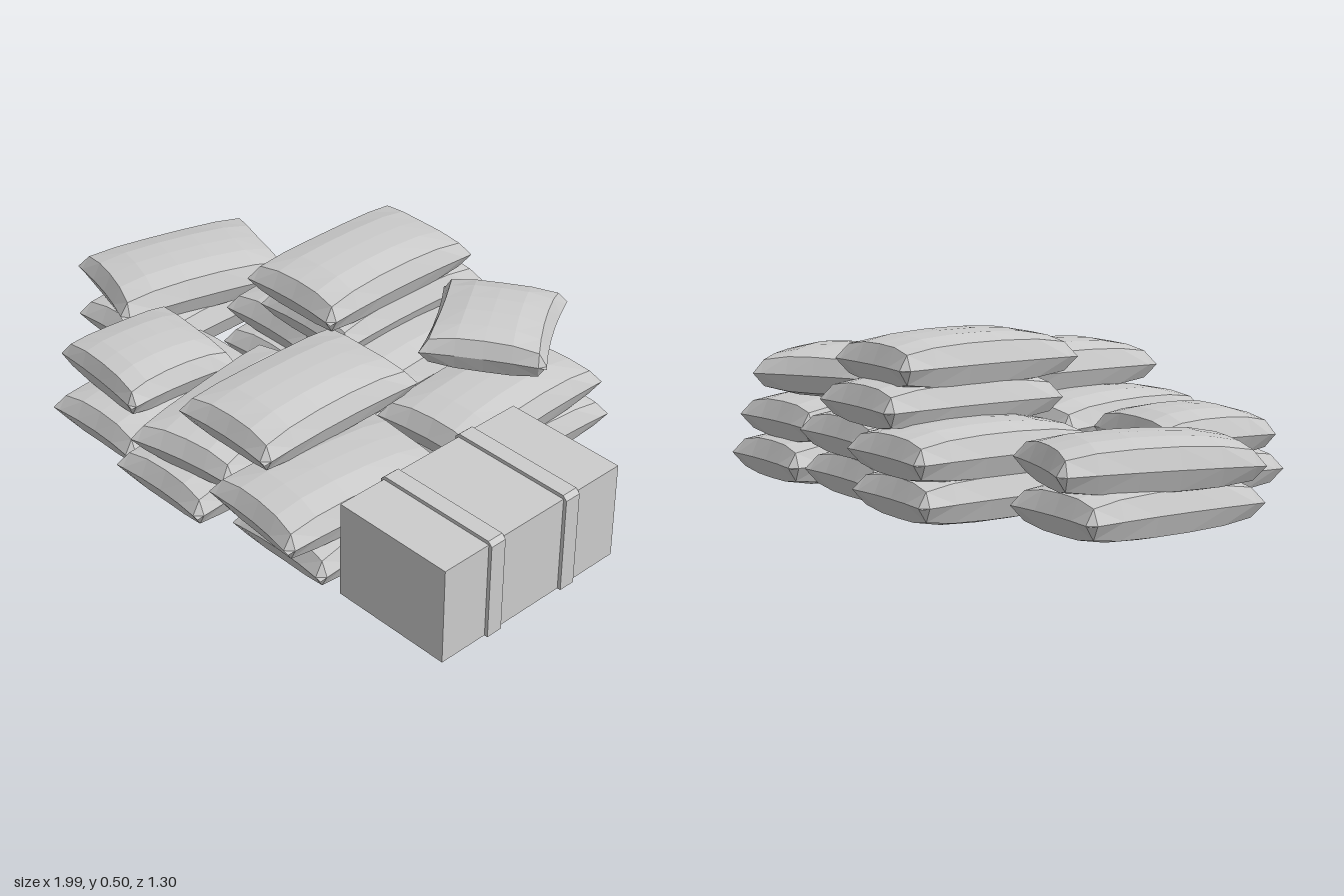
import * as THREE from 'three';

const material = new THREE.MeshStandardMaterial({ color: 0xcccccc, flatShading: true });

// Stuffed sack: two domed grids meeting at a pinched seam with flared corners
function sackGeometry(halfW, halfL, halfH) {
  const us = [-1, -0.87, -0.45, 0, 0.45, 0.87, 1];
  const vs = [-1, -0.91, -0.6, -0.2, 0.2, 0.6, 0.91, 1];
  const dome = t => {
    const a = Math.abs(t);
    return a === 1 ? 0 : 1 - 0.4 * Math.pow(a, 3);
  };
  const positions = [], indices = [];
  for (const side of [1, -1]) {
    const start = positions.length / 3;
    for (const v of vs) for (const u of us) {
      positions.push(
        halfW * u * (1 - 0.07 * (1 - v * v)),
        side * halfH * dome(u) * dome(v),
        halfL * v * (1 - 0.045 * (1 - u * u)));
    }
    for (let j = 0; j < vs.length - 1; j++) for (let i = 0; i < us.length - 1; i++) {
      const a = start + j * us.length + i, b = a + 1, c = a + us.length, d = c + 1;
      if (side > 0) indices.push(a, c, b, b, c, d);
      else indices.push(a, b, c, b, d, c);
    }
  }
  const g = new THREE.BufferGeometry();
  g.setAttribute('position', new THREE.Float32BufferAttribute(positions, 3));
  g.setIndex(indices);
  g.computeVertexNormals();
  return g;
}

// Sack layers from the ground up: x, z, turn in degrees
const layers = [
  { name: 'bottomSack', y: 0.083, sacks: [
    [-0.745, -0.09, 0], [-0.385, 0.29, 0], [-0.03, 0.335, 0], [0.405, 0.27, 0],
    [-0.31, -0.32, 0], [0.04, -0.27, 0], [0.41, -0.31, 0]] },
  { name: 'secondSack', y: 0.2, sacks: [
    [-0.745, -0.09, -16], [-0.02, 0.3, 9.5], [0.395, 0.34, -5],
    [-0.31, -0.335, 0], [0.04, -0.285, 0], [0.41, -0.28, 3]] },
  { name: 'thirdSack', y: 0.312, sacks: [[-0.12, -0.31, 0]] },
  { name: 'frontTopSack', y: 0.33, sacks: [[0.162, 0.25, 0]] },
  { name: 'backTopSack', y: 0.424, sacks: [[-0.12, -0.258, 0]] },
];
const smallSacks = [[-0.43, 0.32, -5, 0.202], [0.31, -0.39, 33, 0.353]];

// Strapped box beside the pile
function createCrate() {
  const crate = new THREE.Group();
  crate.name = 'crate';
  const w = 0.39, h = 0.305, d = 0.67, t = 0.011;
  const box = new THREE.Mesh(new THREE.BoxGeometry(w, h, d), material);
  box.name = 'crateBox';
  box.position.y = h / 2;
  crate.add(box);

  // Strap runs up one side, over the top and down the other
  const s = new THREE.Shape();
  const x = w / 2, o = x + t, top = h + t;
  s.moveTo(-o, 0);
  s.lineTo(-x, 0);
  s.lineTo(-x, h);
  s.lineTo(x, h);
  s.lineTo(x, 0);
  s.lineTo(o, 0);
  s.lineTo(o, h - 0.002);
  s.lineTo(x - 0.002, top);
  s.lineTo(-x + 0.002, top);
  s.lineTo(-o, h - 0.002);
  s.closePath();
  const strapGeo = new THREE.ExtrudeGeometry(s, { depth: 0.052, bevelEnabled: false });
  strapGeo.translate(0, 0, -0.026);
  for (const z of [-0.14, 0.148]) {
    const strap = new THREE.Mesh(strapGeo, material);
    strap.name = 'strap';
    strap.position.z = z;
    crate.add(strap);
  }
  crate.position.set(0.79, 0.015, 0.165);
  return crate;
}

export function createModel() {
  const model = new THREE.Group();
  model.name = 'sackPile';
  const longSack = sackGeometry(0.18, 0.293, 0.081);
  const shortSack = sackGeometry(0.188, 0.188, 0.076);

  const place = (geometry, name, x, y, z, degrees) => {
    const sack = new THREE.Mesh(geometry, material);
    sack.name = name;
    sack.position.set(x, y, z);
    sack.rotation.y = THREE.MathUtils.degToRad(degrees);
    model.add(sack);
  };
  for (const { name, y, sacks } of layers)
    for (const [x, z, turn] of sacks) place(longSack, name, x, y, z, turn);
  for (const [x, z, turn, y] of smallSacks) place(shortSack, 'smallSack', x, y, z, turn);

  model.add(createCrate());
  return model;
}
